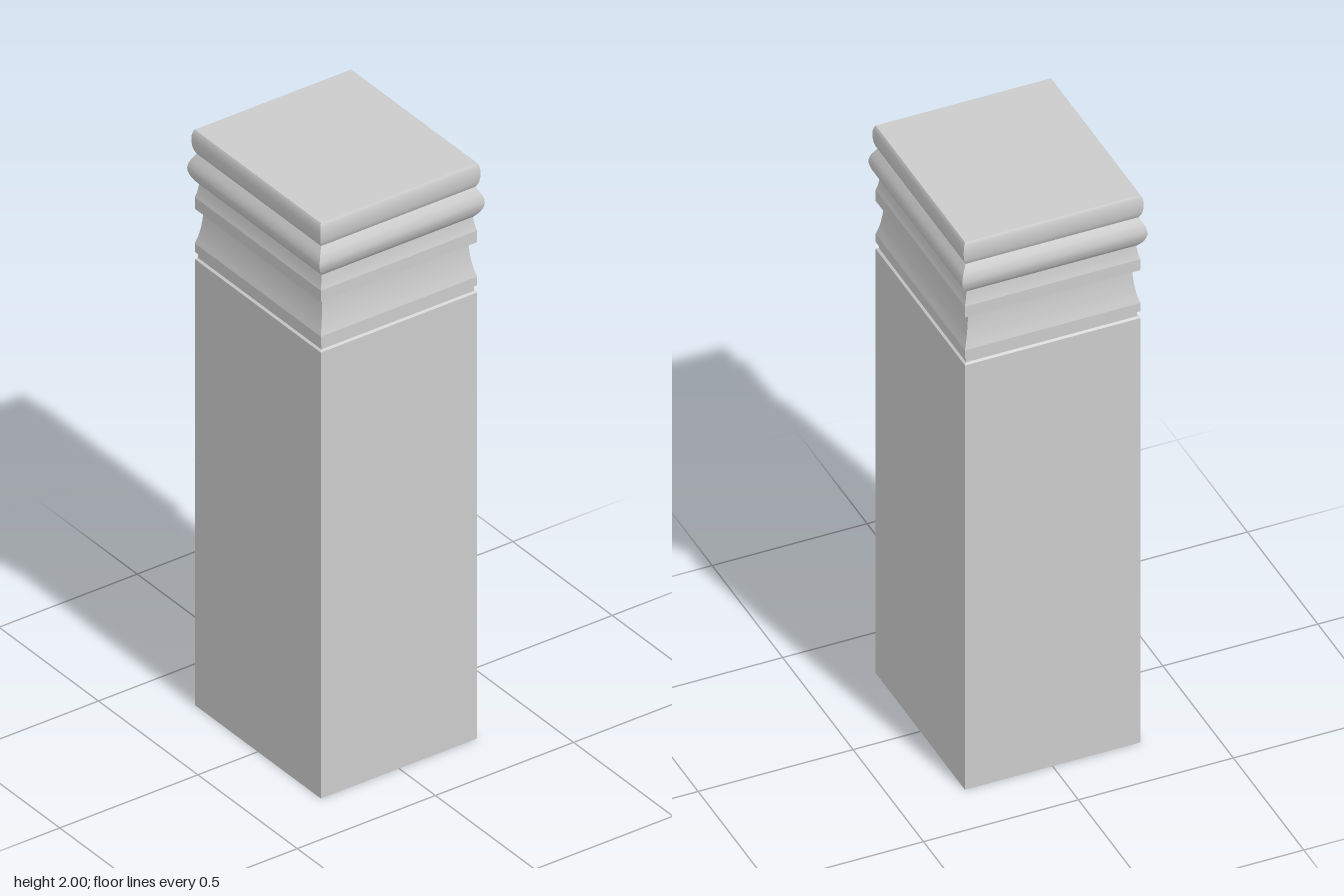
import * as THREE from 'three';

const HALF_X = 0.283, HALF_Z = 0.317;
const CORNERS = [[-1, 1], [1, 1], [1, -1], [-1, -1]];

// Mitred moulding: sweeps a profile of [outset, y] (bottom to top) round the rectangle.
// Each side has its own vertices, so curves are smooth and corners stay sharp.
function moulding(profile) {
  const pos = [], index = [];
  CORNERS.forEach((a, side) => {
    const b = CORNERS[(side + 1) % 4];
    const base = pos.length / 3;
    profile.forEach(([d, y], i) => {
      for (const [sx, sz] of [a, b]) pos.push(sx * (HALF_X + d), y, sz * (HALF_Z + d));
      if (i === 0) return;
      const p = base + (i - 1) * 2;
      index.push(p, p + 1, p + 3, p, p + 3, p + 2);
    });
  });
  const g = new THREE.BufferGeometry();
  g.setAttribute('position', new THREE.Float32BufferAttribute(pos, 3));
  g.setIndex(index);
  g.computeVertexNormals();
  return g;
}

// Smooth profile through a few points
function curved(points, n = 14) {
  return new THREE.SplineCurve(points.map(p => new THREE.Vector2(...p)))
    .getPoints(n).map(p => [p.x, p.y]);
}

export function createModel() {
  const group = new THREE.Group();
  group.name = 'pedestalPost';
  const material = new THREE.MeshStandardMaterial({ color: 0xcccccc });
  const add = (name, geometry) => {
    const mesh = new THREE.Mesh(geometry, material);
    mesh.name = name;
    group.add(mesh);
    return mesh;
  };

  // Bands from the ground up; neighbouring bands meet in crisp edges
  const bands = [
    ['shaft', [[0, 0], [0, 1.55]]],
    ['shaftLedge', [[0, 1.55], [-0.007, 1.555]]],
    ['grooveWall', [[-0.007, 1.555], [-0.007, 1.575]]],
    ['neckUnderside', [[-0.007, 1.575], [0, 1.575]]],
    ['neckFillet', [[0, 1.575], [0, 1.605]]],
    ['neckCove', curved([[0, 1.605], [-0.008, 1.635], [-0.014, 1.67], [-0.017, 1.70], [-0.018, 1.725]])],
    ['collarUnderside', [[-0.018, 1.725], [0, 1.725]]],
    ['collarFace', [[0, 1.725], [0, 1.765]]],
    ['collarCove', curved([[0, 1.765], [-0.004, 1.78], [-0.007, 1.797], [-0.009, 1.812]], 8)],
    ['roundMoulding', curved([[-0.009, 1.812], [0.004, 1.828], [0.013, 1.848], [0.016, 1.866],
      [0.012, 1.886], [0.004, 1.903], [-0.004, 1.917]], 18)],
    ['capEdge', curved([[-0.004, 1.917], [0.003, 1.932], [0.007, 1.955], [0.007, 1.975],
      [0.004, 1.991], [0, 2]], 16)],
  ];
  for (const [name, profile] of bands) add(name, moulding(profile));

  // Flat top and base
  const plate = new THREE.PlaneGeometry(HALF_X * 2, HALF_Z * 2);
  const top = add('topFace', plate);
  top.rotation.x = -Math.PI / 2;
  top.position.y = 2;
  add('baseFace', plate).rotation.x = Math.PI / 2;

  return group;
}
